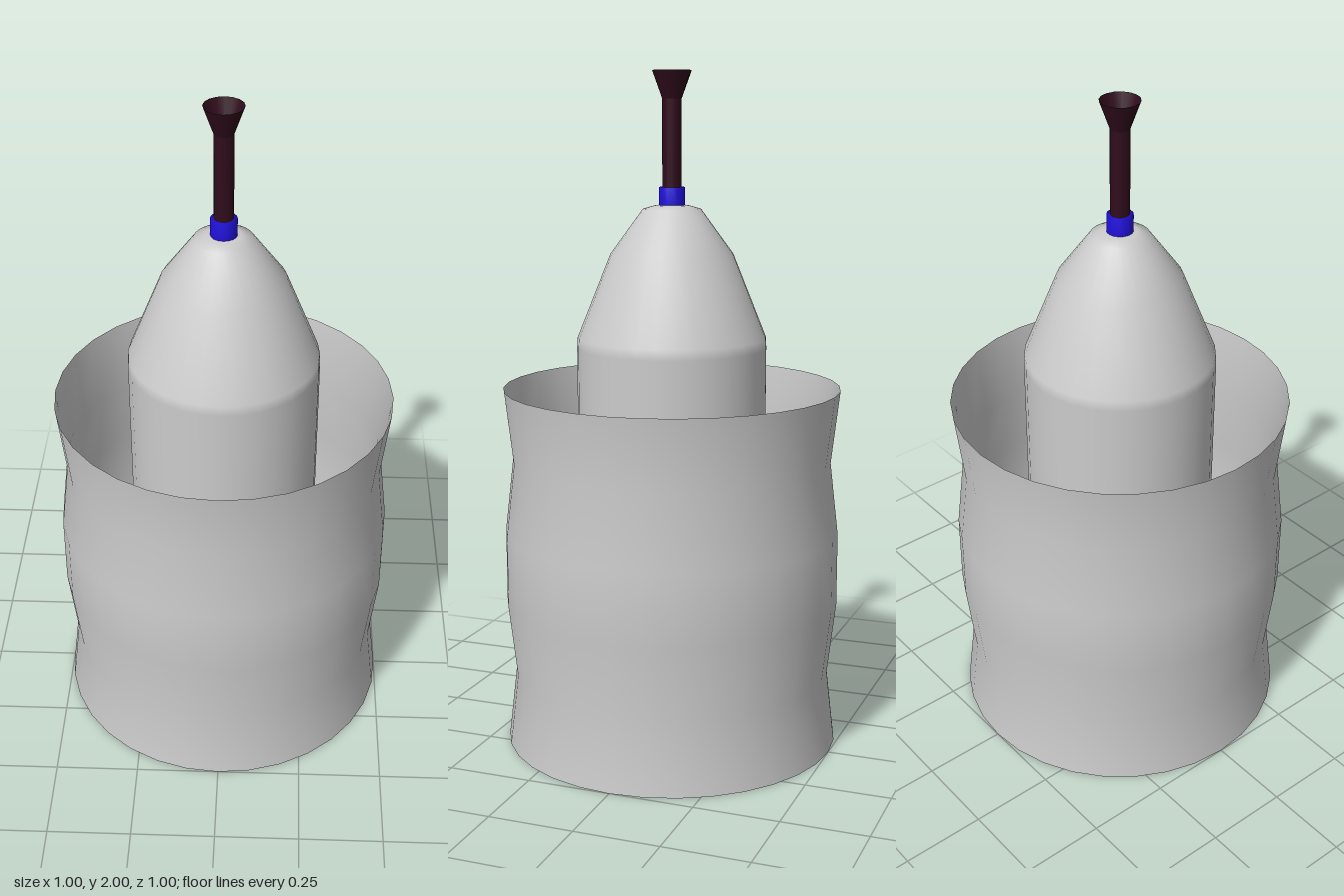
import * as THREE from 'three';

// Revolved open shell from [radius, height] pairs, bottom to top
function shell(name, profile, segments, color) {
  const points = profile.map(([r, y]) => new THREE.Vector2(r, y));
  const material = new THREE.MeshStandardMaterial({ color, side: THREE.DoubleSide });
  const mesh = new THREE.Mesh(new THREE.LatheGeometry(points, segments), material);
  mesh.name = name;
  return mesh;
}

export function createModel() {
  const group = new THREE.Group();
  const grey = 0xcccccc, blue = 0x2010d8, dark = 0x300c1c;

  // Wavy open cup: six evenly spaced rings, pinched at the second and fifth
  const radii = [0.5, 0.475, 0.5, 0.5, 0.475, 0.5];
  group.add(shell('cup', radii.map((r, i) => [r, i * 0.216]), 32, grey));

  // Flat floor of the cup, visible from inside and below
  const floor = new THREE.Mesh(
    new THREE.CircleGeometry(0.5, 32).rotateX(-Math.PI / 2),
    new THREE.MeshStandardMaterial({ color: grey, side: THREE.DoubleSide })
  );
  floor.name = 'cupFloor';
  group.add(floor);

  // Inner body with a domed nose
  group.add(shell('innerBody', [
    [0.28, 0], [0.28, 1.2], [0.278, 1.23], [0.18, 1.475], [0.085, 1.605], [0.05, 1.615], [0, 1.62],
  ], 32, grey));

  // Collar and hollow stem with a flared mouth
  group.add(shell('collar', [[0.038, 1.615], [0.038, 1.668], [0.028, 1.668]], 16, blue));
  group.add(shell('stem', [[0.028, 1.62], [0.028, 1.92]], 16, dark));
  group.add(shell('stemFlare', [[0.028, 1.92], [0.057, 2]], 16, dark));

  return group;
}
